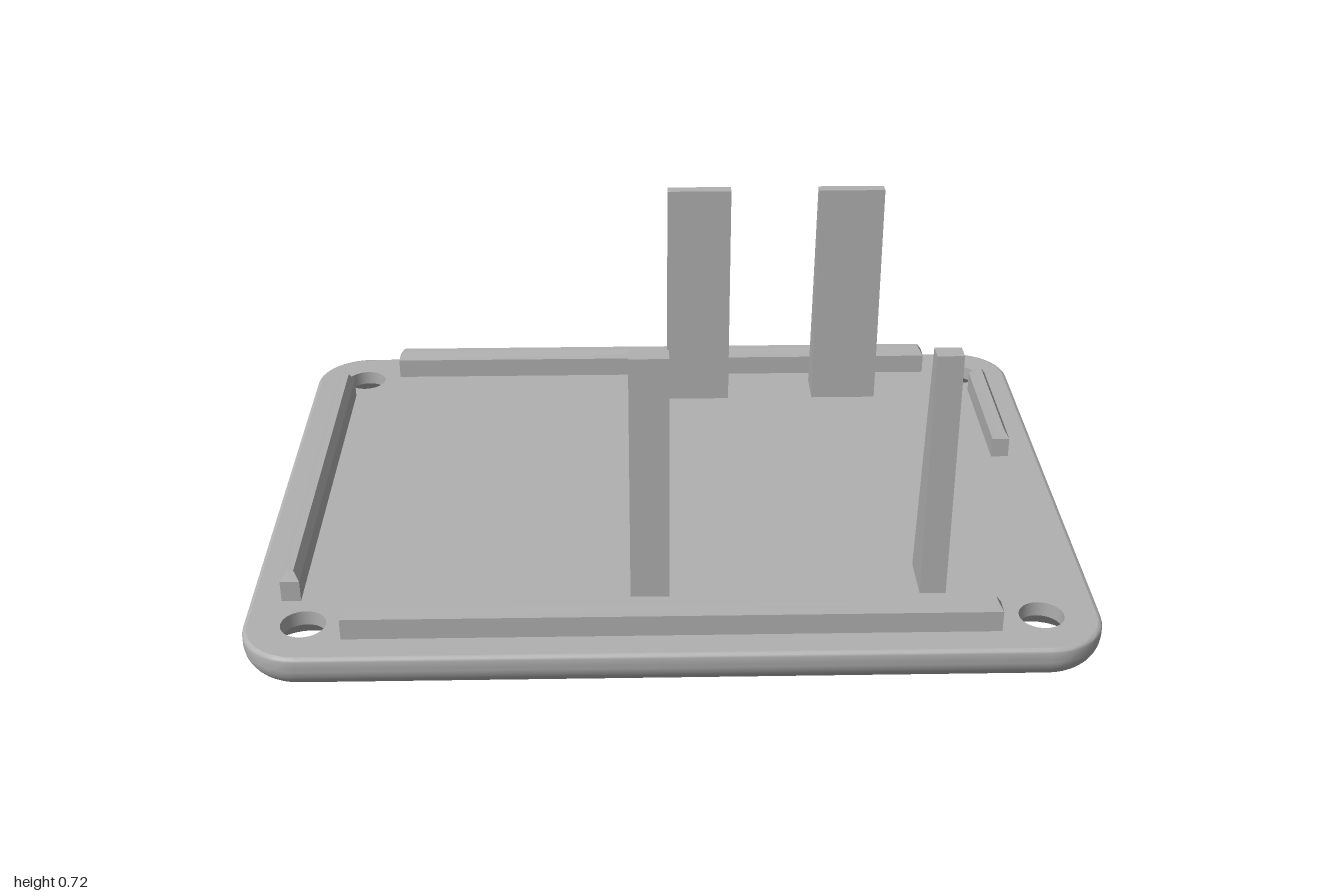
import * as THREE from 'three';
import { toCreasedNormals } from 'three/addons/utils/BufferGeometryUtils.js';

const HALF_X = 1, HALF_Z = 0.757, CORNER = 0.14, TOP = 0.087;
const HOLE_X = HALF_X - CORNER, HOLE_Z = HALF_Z - CORNER, HOLE_R = 0.053, SINK_R = 0.1;

// Rounded rectangle outline at height y, pulled in by inset
function outline(y, inset, steps = 10) {
  const pts = [], r = CORNER - inset;
  [[1, 1], [-1, 1], [-1, -1], [1, -1]].forEach(([sx, sz], k) => {
    for (let i = 0; i <= steps; i++) {
      const a = (k + i / steps) * Math.PI / 2;
      pts.push([sx * HOLE_X + r * Math.cos(a), y, sz * HOLE_Z + r * Math.sin(a)]);
    }
  });
  return pts;
}

function rect(y, x0, x1, z0, z1) {
  return [[x1, y, z0], [x1, y, z1], [x0, y, z1], [x0, y, z0]];
}

// Skin through equal-length rings from bottom to top, optionally closed
function loft(rings, closed, crease) {
  const n = rings[0].length, index = [];
  for (let j = 0; j < rings.length - 1; j++) {
    for (let i = 0; i < n; i++) {
      const a = j * n + i, b = j * n + (i + 1) % n;
      index.push(a, a + n, b, b, a + n, b + n);
    }
  }
  if (closed) {
    const t = (rings.length - 1) * n;
    for (let i = 1; i < n - 1; i++) index.push(0, i, i + 1, t, t + i + 1, t + i);
  }
  const g = new THREE.BufferGeometry();
  g.setAttribute('position', new THREE.Float32BufferAttribute(rings.flat(2), 3));
  g.setIndex(index);
  return toCreasedNormals(g, crease);
}

// Flat face of the plate with four round holes
function plateFace(inset, holeRadius) {
  const shape = new THREE.Shape(outline(0, inset).map(([x, , z]) => new THREE.Vector2(x, z)));
  for (const sx of [-1, 1]) for (const sz of [-1, 1]) {
    shape.holes.push(new THREE.Path().absarc(sx * HOLE_X, sz * HOLE_Z, holeRadius, 0, Math.PI * 2, true));
  }
  return new THREE.ShapeGeometry(shape, 16);
}

export function createModel() {
  const model = new THREE.Group();
  model.name = 'enclosureLid';
  const grey = new THREE.MeshStandardMaterial({ color: 0xb0b0b0 });
  grey.name = 'grey';
  const add = (name, geometry, parent = model) => {
    const mesh = new THREE.Mesh(geometry, grey);
    mesh.name = name;
    parent.add(mesh);
    return mesh;
  };

  // Base plate: rounded underside edge and a small eased top edge
  const plate = new THREE.Group();
  plate.name = 'basePlate';
  model.add(plate);
  const R = 0.069, rings = [];
  for (let i = 0; i <= 8; i++) {
    const a = (1 - i / 8) * Math.PI / 3;
    rings.push(outline(0.06 - R * Math.sin(a) * 0.06 / (R * Math.sin(Math.PI / 3)), R * (1 - Math.cos(a))));
  }
  for (let i = 0; i <= 3; i++) {
    const a = i / 3 * Math.PI / 2;
    rings.push(outline(TOP - 0.01 + 0.01 * Math.sin(a), 0.01 * (1 - Math.cos(a))));
  }
  add('plateEdge', loft(rings, false, 0.7), plate);
  add('plateTop', plateFace(0.01, HOLE_R).rotateX(-Math.PI / 2), plate).position.y = TOP;
  add('plateBottom', plateFace(R / 2, SINK_R).rotateX(Math.PI / 2), plate);

  // Countersunk screw holes
  const sinkTop = 0.05;
  for (const sx of [-1, 1]) for (const sz of [-1, 1]) {
    const bore = [[HOLE_R, TOP], [HOLE_R, sinkTop]], sink = [[HOLE_R, sinkTop], [SINK_R, 0]];
    for (const [name, profile] of [['screwBore', bore], ['countersink', sink]]) {
      const g = new THREE.LatheGeometry(profile.map(p => new THREE.Vector2(...p)), 32);
      add(name, g, plate).position.set(sx * HOLE_X, 0, sz * HOLE_Z);
    }
  }

  // Locating rails with chamfered tops
  const rails = {
    backRail: [-0.765, 0.757, -0.682, -0.637],
    frontRail: [-0.765, 0.757, 0.637, 0.68],
    rightRail: [-0.925, -0.879, -0.522, 0.52],
    leftRail: [0.873, 0.918, -0.522, -0.133],
  };
  for (const [name, [x0, x1, z0, z1]] of Object.entries(rails)) {
    const c = 0.014;
    add(name, loft([
      rect(TOP - 0.005, x0, x1, z0, z1),
      rect(0.14, x0, x1, z0, z1),
      rect(0.163, x0 + c, x1 - c, z0 + c, z1 - c),
    ], true, 0.2));
  }

  // Tall posts: upright front face, back face tapering to the top
  const posts = [
    ['backPost', 0.01, 0.182, -0.589, -0.516, -0.484],
    ['backPost', 0.42, 0.598, -0.589, -0.516, -0.484],
    ['frontPost', -0.1, -0.008, 0.392, 0.476, 0.52],
    ['frontPost', 0.588, 0.65, 0.392, 0.476, 0.52],
  ];
  for (const [name, x0, x1, zBase, zTop, zFront] of posts) {
    add(name, loft([
      rect(TOP, x0, x1, zBase, zFront),
      rect(0.717, x0, x1, zTop, zFront),
    ], true, 0.1));
  }
  return model;
}
